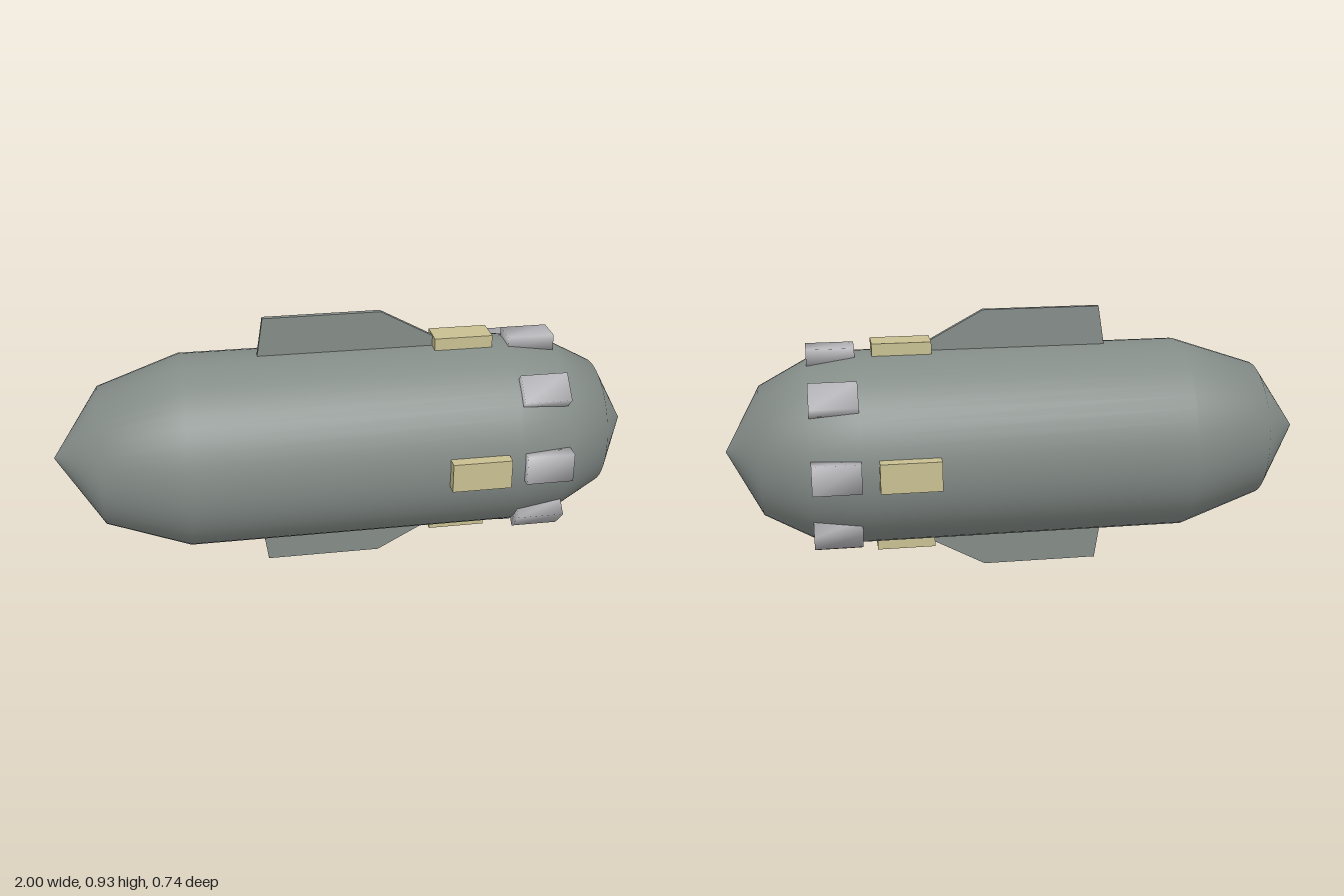
import * as THREE from 'three';
import { mergeVertices } from 'three/addons/utils/BufferGeometryUtils.js';

const AXIS_Y = 0.4625;

export function createModel() {
  const model = new THREE.Group();
  const hullGrey = new THREE.MeshStandardMaterial({ name: 'hullGrey', color: 0x848c88 });
  const paleYellow = new THREE.MeshStandardMaterial({ name: 'paleYellow', color: 0xc8c091 });
  const lightSteel = new THREE.MeshStandardMaterial({ name: 'lightSteel', color: 0xb6b6ba });

  // All parts are arranged around the long x axis of the body
  const body = new THREE.Group();
  body.name = 'body';
  body.position.y = AXIS_Y;
  model.add(body);

  function add(name, geometry, material, angle = 0) {
    const mesh = new THREE.Mesh(geometry, material);
    mesh.name = name;
    mesh.rotation.x = angle;
    body.add(mesh);
  }

  // Hull: smooth turned body with pointed ends
  const profile = [
    [0, -1], [0.235, -0.84], [0.33, -0.56], [0.33, 0.55],
    [0.305, 0.72], [0.22, 0.88], [0, 1],
  ].map(([r, x]) => new THREE.Vector2(r, x));
  const hull = new THREE.LatheGeometry(profile, 48);
  hull.rotateZ(-Math.PI / 2);
  add('hull', hull, hullGrey);

  // Fins above and below
  const outline = [[-0.305, 0.3], [-0.28, 0.4625], [0.12, 0.4625], [0.3, 0.365], [0.36, 0.3]];
  const fin = new THREE.ExtrudeGeometry(
    new THREE.Shape(outline.map(([x, y]) => new THREE.Vector2(x, y))),
    { depth: 0.018, bevelEnabled: false },
  );
  fin.translate(0, 0, -0.009);
  add('topFin', fin, hullGrey);
  add('bottomFin', fin, hullGrey, Math.PI);

  // Four blocks on the flanks
  const block = new THREE.BoxGeometry(0.2, 0.07, 0.1);
  block.translate(0.4, 0.333, 0);
  for (let i = 0; i < 4; i++) add('sideBlock', block, paleYellow, (i * Math.PI) / 2);

  // Ring of eight softly shaded thruster pods behind the nose
  const box = new THREE.BoxGeometry(0.16, 0.055, 0.1);
  box.deleteAttribute('normal');
  box.deleteAttribute('uv');
  const pod = mergeVertices(box);
  pod.computeVertexNormals();
  pod.translate(0.637, 0.3285, 0);
  for (let i = 0; i < 8; i++) add('thrusterPod', pod, lightSteel, (i * Math.PI) / 4);

  return model;
}
